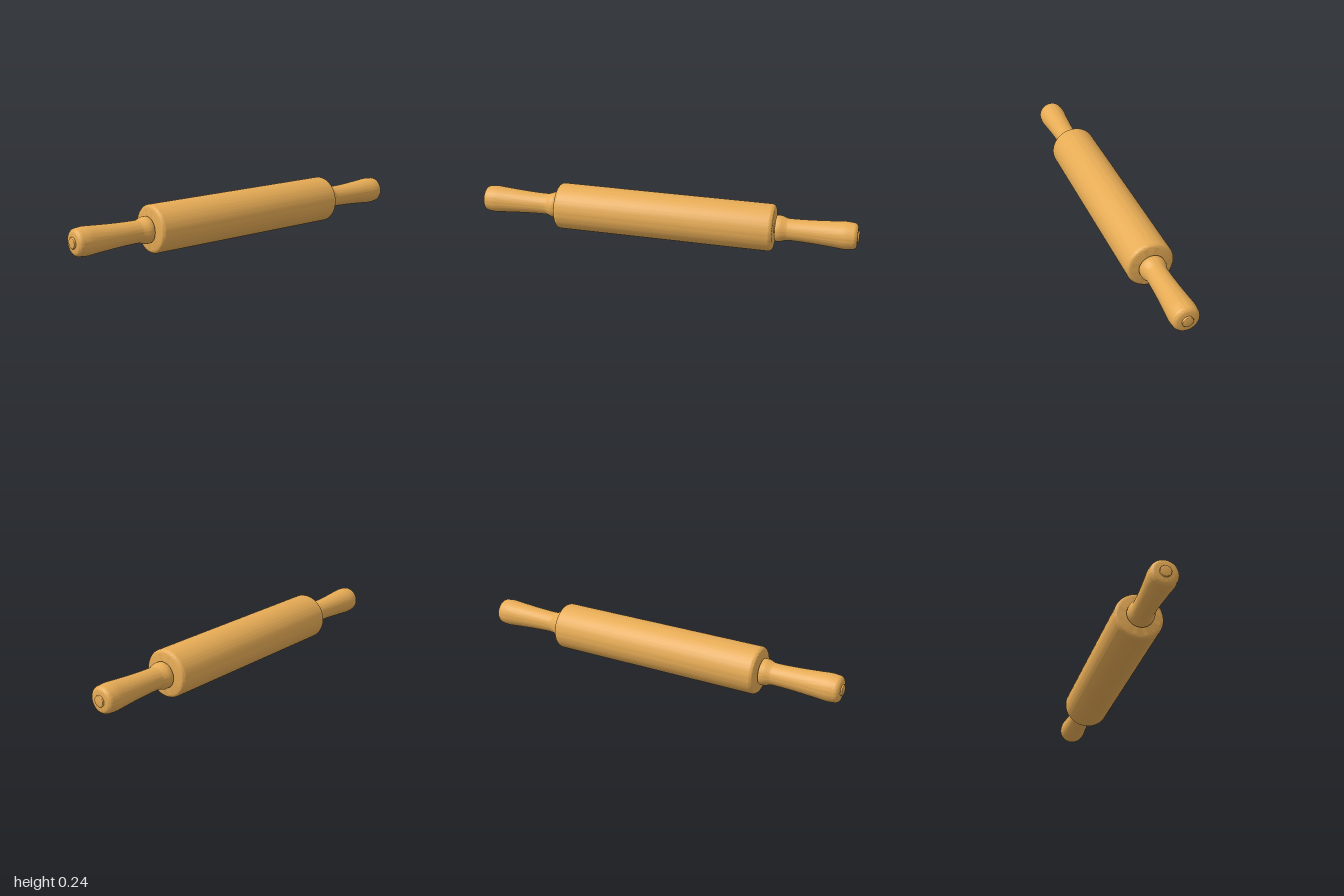
import * as THREE from 'three';
import { toCreasedNormals } from 'three/addons/utils/BufferGeometryUtils.js';

const R = 0.121; // roller radius, also the height of the axis
const wood = new THREE.MeshStandardMaterial({ color: 0xe6ab55 });

// Turns a profile of [radius, distance along the axis] points
function turned(name, points, segments = 64) {
  const profile = points.map((p) => new THREE.Vector2(p[0], p[1]));
  const geometry = toCreasedNormals(new THREE.LatheGeometry(profile, segments), 0.6);
  const mesh = new THREE.Mesh(geometry, wood);
  mesh.name = name;
  return mesh;
}

// Quarter-round edge from angle a0 to a1 about a centre
function arc(cr, cy, r, a0, a1, n = 6) {
  return Array.from({ length: n + 1 }, (_, i) => {
    const a = a0 + ((a1 - a0) * i) / n;
    return [cr + r * Math.cos(a), cy + r * Math.sin(a)];
  });
}

export function createModel() {
  const group = new THREE.Group();
  group.name = 'rollingPin';
  const H = Math.PI / 2;

  // Roller with rounded rims
  const half = 0.575, edge = 0.02;
  const roller = turned('roller', [
    [0, -half],
    ...arc(R - edge, -half + edge, edge, -H, 0),
    ...arc(R - edge, half - edge, edge, 0, H),
    [0, half],
  ], 96);
  roller.rotation.z = -H;
  roller.position.y = R;
  group.add(roller);

  // Swelling grip between the neck and the rounded end
  const grip = new THREE.SplineCurve([
    [0.066, 0.612], [0.060, 0.628], [0.056, 0.645], [0.0565, 0.70],
    [0.060, 0.78], [0.066, 0.87], [0.0705, 0.93], [0.068, 0.965],
  ].map((p) => new THREE.Vector2(...p))).getPoints(36).map((p) => [p.x, p.y]);

  for (const side of [1, -1]) {
    const end = new THREE.Group();
    end.name = side > 0 ? 'leftHandle' : 'rightHandle';

    // Handle with collar, neck and grip
    end.add(turned('grip', [
      [0, 0.582],
      ...arc(0.062, 0.587, 0.005, -H, 0, 4),
      ...arc(0.061, 0.606, 0.006, 0, 0.5, 2),
      ...grip,
      ...arc(0.043, 0.967, 0.025, 0.1, H, 8),
      [0, 0.992],
    ]));

    // Axle from the roller through the handle, showing as a small button
    end.add(turned('axle', [
      [0, 0.56], [0.028, 0.56],
      ...arc(0.025, 0.997, 0.003, 0, H, 3),
      [0, 1],
    ], 40));

    end.rotation.z = -side * H;
    end.position.y = R;
    group.add(end);
  }
  return group;
}
